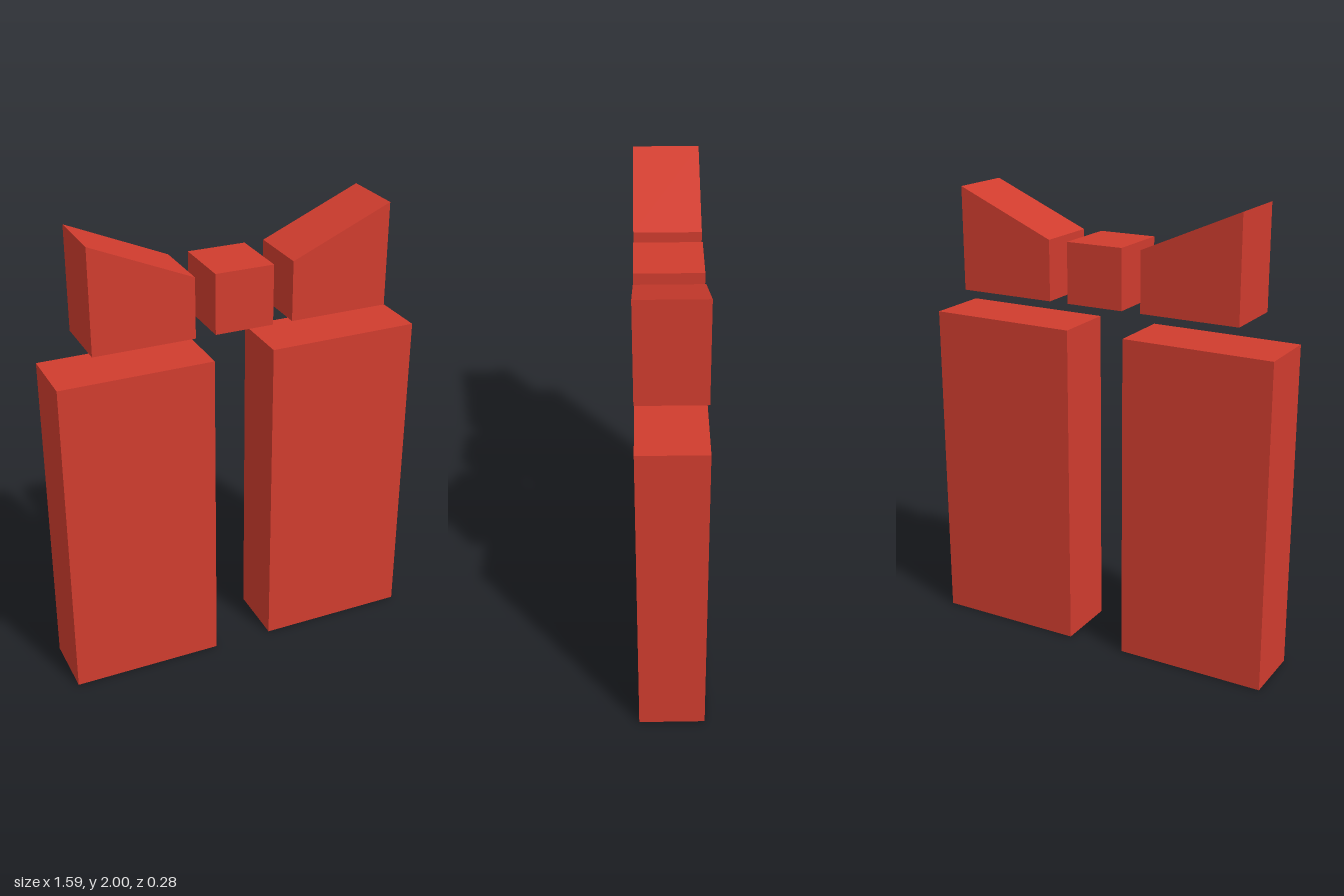
import * as THREE from 'three';

const DEPTH = 0.28;
const BASE_Y = 1.555; // underside of the bow
const KNOT_Y = 1.813; // top of the knot and inner edge of the wings

export function createModel() {
  const model = new THREE.Group();
  model.name = 'giftBox';
  const red = new THREE.MeshStandardMaterial({ color: 0xd03c2e });
  red.name = 'red';

  const add = (name, geometry, x = 0, y = 0) => {
    const mesh = new THREE.Mesh(geometry, red);
    mesh.name = name;
    mesh.position.set(x, y, 0);
    model.add(mesh);
  };

  // Block spanning the full depth, given by its height above y
  const block = (name, x, y, width, height) =>
    add(name, new THREE.BoxGeometry(width, height, DEPTH), x, y + height / 2);

  // Bow wing: a slanted-top prism, taller at its outer edge
  const wing = (name, side) => {
    const points = [[0.213, BASE_Y], [0.645, BASE_Y], [0.645, 2], [0.213, KNOT_Y]];
    const shape = new THREE.Shape(points.map(([x, y]) => new THREE.Vector2(side * x, y)));
    const geometry = new THREE.ExtrudeGeometry(shape, { depth: DEPTH, bevelEnabled: false });
    add(name, geometry.translate(0, 0, -DEPTH / 2));
  };

  for (const [label, side] of [['left', 1], ['right', -1]]) {
    block(label + 'BoxHalf', side * 0.463, 0, 0.662, 1.44);
    wing(label + 'BowWing', side);
  }
  block('bowKnot', 0, BASE_Y, 0.254, KNOT_Y - BASE_Y);

  return model;
}
